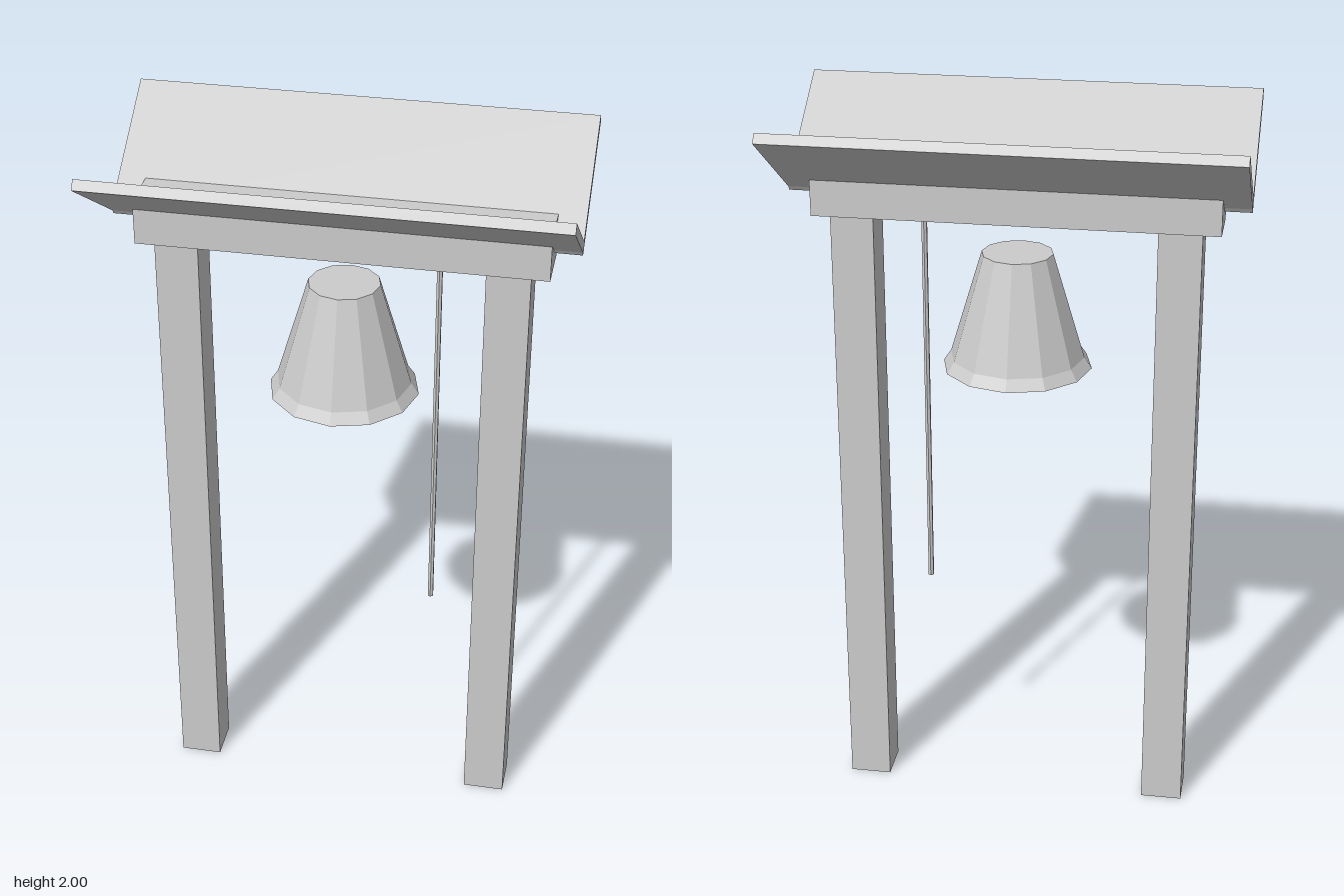
import * as THREE from 'three';

export function createModel() {
  const model = new THREE.Group();
  model.name = 'bellStand';

  const grey = new THREE.MeshStandardMaterial({ color: 0xcccccc });
  grey.name = 'lightGrey';
  grey.flatShading = true;

  const add = (name, geometry, x, y, z, parent = model) => {
    const mesh = new THREE.Mesh(geometry, grey);
    mesh.name = name;
    mesh.position.set(x, y, z);
    parent.add(mesh);
    return mesh;
  };

  // Posts and cross beam
  for (const side of [-1, 1]) {
    add(side > 0 ? 'leftPost' : 'rightPost', new THREE.BoxGeometry(0.114, 1.715, 0.114), side * 0.428, 0.8575, 0);
  }
  add('beam', new THREE.BoxGeometry(1.066, 0.122, 0.142), 0, 1.776, 0);

  // Two roof boards sloping up and outward, overlapping slightly at the valley
  for (const side of [-1, 1]) {
    const board = add(side > 0 ? 'frontRoofBoard' : 'backRoofBoard',
      new THREE.BoxGeometry(1.21, 0.028, 0.39), 0, 1.881, side * 0.1495);
    board.rotation.x = -side * 0.588;
  }

  // Twelve-sided bell with a flared lip
  const bell = new THREE.Group();
  bell.name = 'bell';
  model.add(bell);
  add('bellBody', new THREE.CylinderGeometry(0.095, 0.18, 0.285, 12), 0, 1.4775, 0, bell);
  add('bellLip', new THREE.CylinderGeometry(0.18, 0.2, 0.03, 12), 0, 1.32, 0, bell);

  // Pull rope
  add('rope', new THREE.CylinderGeometry(0.008, 0.008, 1.07, 6), 0.247, 1.18, 0);

  return model;
}
